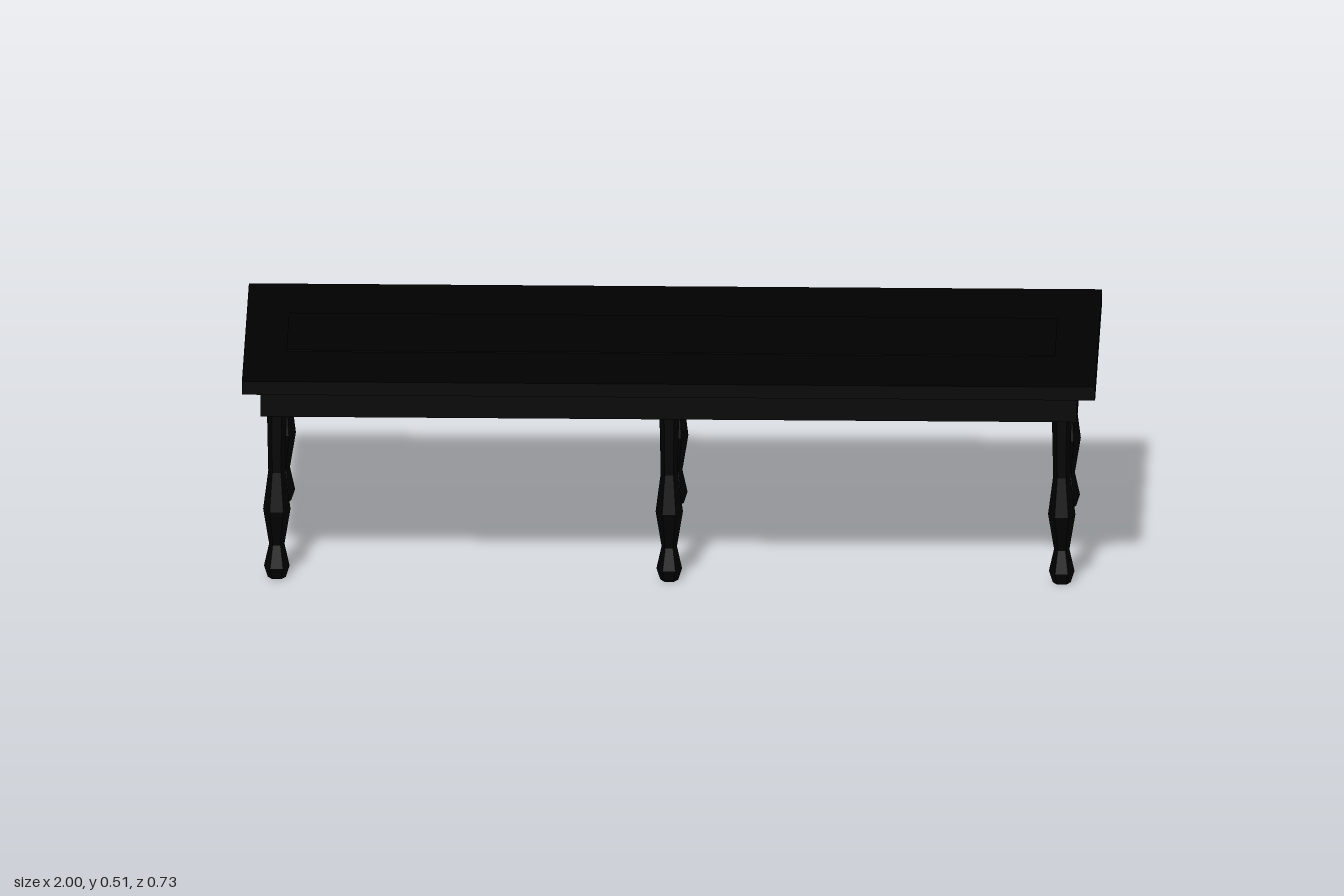
import * as THREE from 'three';

export function createModel() {
  const table = new THREE.Group();
  table.name = 'table';
  const black = new THREE.MeshStandardMaterial({ color: 0x000000 });
  black.name = 'black';
  black.flatShading = true;

  const add = (name, geometry, x, y, z) => {
    const mesh = new THREE.Mesh(geometry, black);
    mesh.name = name;
    mesh.position.set(x, y, z);
    table.add(mesh);
  };
  // Box given by its width, depth and lower and upper heights
  const slab = (name, width, depth, bottom, top, x = 0) =>
    add(name, new THREE.BoxGeometry(width, top - bottom, depth), x, (bottom + top) / 2, 0);

  // Top, apron and the runner with its short hanging ends
  slab('tableTop', 2, 0.734, 0.475, 0.508);
  slab('apron', 1.914, 0.654, 0.408, 0.475);
  slab('runner', 1.8, 0.28, 0.506, 0.511);
  for (const side of [-1, 1]) slab('runnerEnd', 0.002, 0.28, 0.388, 0.51, side * 0.9);

  // Six-sided turned legs, radius and height from foot to apron
  const profile = [
    [0, 0], [0.021, 0], [0.03, 0.028], [0.018, 0.082], [0.032, 0.168],
    [0.02, 0.262], [0.0205, 0.285], [0.023, 0.408], [0, 0.408],
  ].map(([r, y]) => new THREE.Vector2(r, y));
  const leg = new THREE.LatheGeometry(profile, 6, Math.PI / 6);
  for (const x of [-0.92, 0, 0.92])
    for (const z of [-0.287, 0.287]) add('leg', leg, x, 0, z);

  return table;
}
